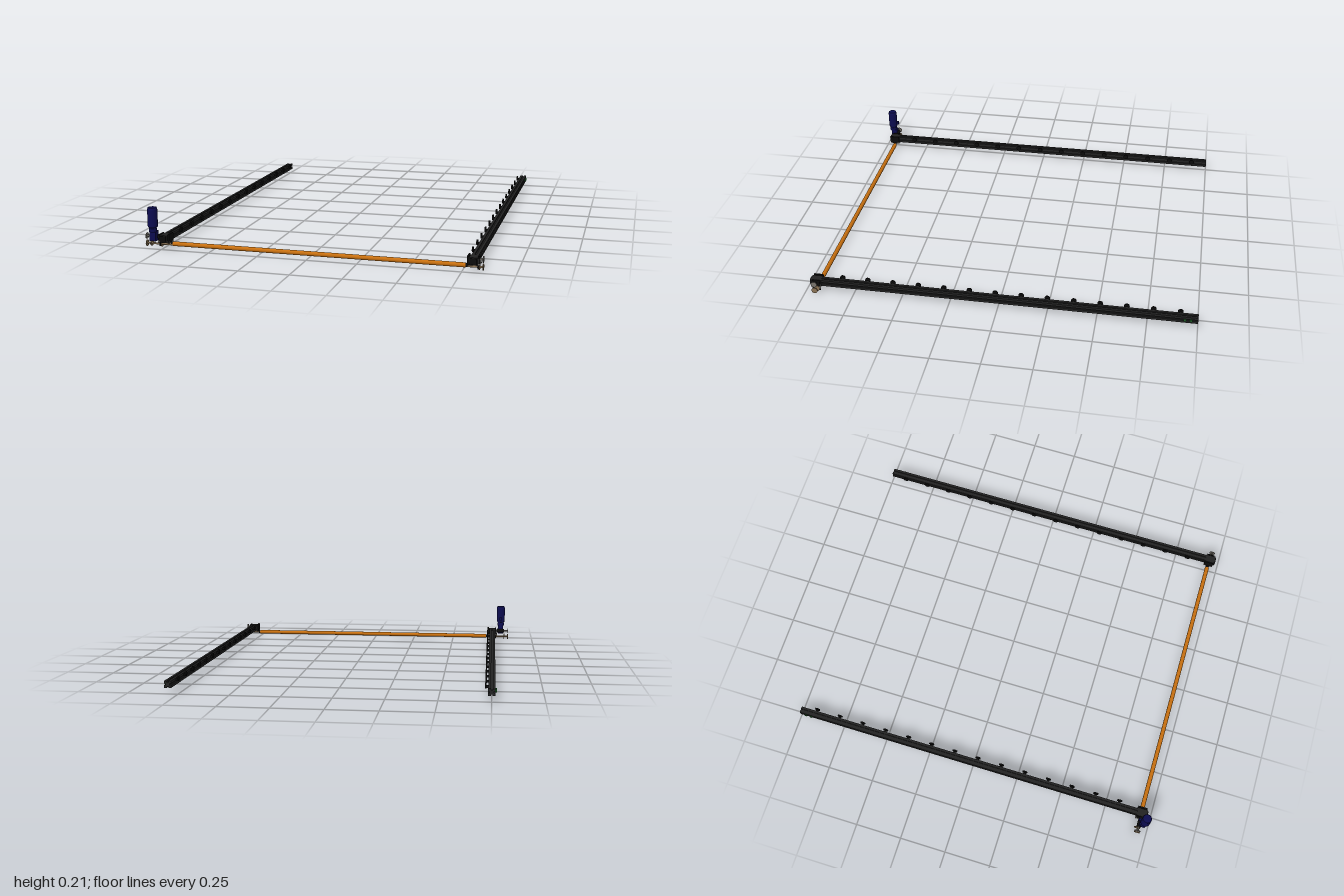
import * as THREE from 'three';

const mat = (color) => new THREE.MeshStandardMaterial({ color });
const black = mat(0x222222), dark = mat(0x0c0c0c), navy = mat(0x0c0c50);
const orange = mat(0xc87010), steel = mat(0x77736c), brass = mat(0x8a7355), green = mat(0x1c5a24);

function add(parent, name, geometry, material, x, y, z) {
  const mesh = new THREE.Mesh(geometry, material);
  mesh.name = name;
  mesh.position.set(x, y, z);
  parent.add(mesh);
  return mesh;
}
const box = (w, h, d) => new THREE.BoxGeometry(w, h, d);
const cylX = (r, len, n = 20) => new THREE.CylinderGeometry(r, r, len, n).rotateZ(Math.PI / 2);
const cylY = (r, len, n = 24) => new THREE.CylinderGeometry(r, r, len, n);

// Square profile with a shallow slot in each face, extruded along z
function railGeometry(size, length) {
  const h = size / 2, s = size * 0.12, d = size * 0.2;
  const shape = new THREE.Shape();
  const side = [[-h, -h], [-s, -h], [-s, -h + d], [s, -h + d], [s, -h]];
  const points = [];
  for (let i = 0; i < 4; i++) {
    const c = Math.round(Math.cos(i * Math.PI / 2)), n = Math.round(Math.sin(i * Math.PI / 2));
    for (const [x, y] of side) points.push(new THREE.Vector2(x * c - y * n, x * n + y * c));
  }
  shape.setFromPoints(points);
  return new THREE.ExtrudeGeometry(shape, { depth: length, bevelEnabled: false });
}

// One rail with its roller studs and corner bracket; inner is the x direction toward the middle
function makeRail(name, x, inner) {
  const rail = new THREE.Group();
  rail.name = name;
  rail.position.x = x;
  add(rail, 'railBeam', railGeometry(0.034, 1.96), black, 0, 0.047, -1);

  // Row of studs along the inner face
  for (let i = 0; i < 14; i++) {
    const z = -0.912 + i * 0.133;
    add(rail, 'studDisc', cylX(0.014, 0.007), dark, inner * 0.028, 0.061, z);
    add(rail, 'studPin', cylX(0.007, 0.012, 12), dark, inner * 0.021, 0.056, z);
  }

  // Small fasteners at the far end
  for (const z of [-0.965, -0.935])
    add(rail, 'endFastener', cylX(0.007, 0.008, 12), green, -inner * 0.019, 0.047, z);

  // Corner bracket at the front
  add(rail, 'bracketBlock', box(0.042, 0.036, 0.055), black, 0, 0.047, 0.948);
  add(rail, 'bracketFlange', box(0.056, 0.03, 0.025), black, 0, 0.045, 0.955);
  add(rail, 'bracketCheek', box(0.008, 0.046, 0.05), dark, inner * 0.026, 0.048, 0.945);
  add(rail, 'bracketCheek', box(0.006, 0.062, 0.04), dark, -inner * 0.022, 0.038, 0.945);
  add(rail, 'frontPlate', box(0.032, 0.03, 0.008), dark, 0, 0.047, 0.976);
  for (const z of [0.925, 0.965])
    add(rail, 'bracketBolt', cylX(0.005, 0.062, 10), steel, 0, 0.03, z);
  return rail;
}

// Short axle with a disc at its outer end
function makeAxle(name, x0, x1, y, material) {
  const axle = new THREE.Group();
  axle.name = name;
  add(axle, 'axleShaft', cylX(0.005, Math.abs(x1 - x0), 12), material, (x0 + x1) / 2, y, 0.95);
  add(axle, 'axleDisc', cylX(0.016, 0.004), material, x0 + Math.sign(x1 - x0) * 0.002, y, 0.95);
  return axle;
}

export function createModel() {
  const model = new THREE.Group();
  model.add(makeRail('rightRail', -0.75, 1), makeRail('leftRail', 0.8, -1));

  // Cross roller and its end collars
  add(model, 'crossRoller', cylX(0.0115, 1.47, 24), orange, 0.025, 0.019, 0.945);
  add(model, 'rollerSpindle', cylX(0.005, 1.56, 12), brass, 0.025, 0.019, 0.945);
  for (const x of [-0.713, 0.763])
    add(model, 'rollerCollar', cylX(0.009, 0.012), dark, x, 0.019, 0.945);

  // Axles at both corners, upper and lower
  model.add(
    makeAxle('upperAxleRight', -0.85, -0.73, 0.053, steel),
    makeAxle('lowerAxleRight', -0.85, -0.71, 0.016, brass),
    makeAxle('upperAxleLeft', 0.845, 0.78, 0.053, steel),
    makeAxle('lowerAxleLeft', 0.845, 0.77, 0.016, brass)
  );
  for (const x of [-0.825, -0.77, 0.825])
    add(model, 'gearDisc', cylX(0.017, 0.004), brass, x, 0.018, 0.945);

  // Upright drive motor beside the right rail
  const motor = new THREE.Group();
  motor.name = 'driveMotor';
  motor.position.set(-0.803, 0, 0.974);
  const profile = [[0, 0.085], [0.017, 0.085], [0.017, 0.106], [0.024, 0.108], [0.025, 0.112],
    [0.025, 0.196], [0.022, 0.206], [0, 0.207]].map(([r, y]) => new THREE.Vector2(r, y));
  const body = new THREE.LatheGeometry(profile, 28).toNonIndexed();
  body.computeVertexNormals();
  add(motor, 'motorBody', body, navy, 0, 0, 0);
  add(motor, 'motorNeck', cylY(0.02, 0.018), navy, 0, 0.092, 0);
  add(motor, 'gearbox', box(0.033, 0.05, 0.034), navy, 0, 0.06, -0.008);
  add(motor, 'cableSocket', box(0.014, 0.018, 0.016), navy, 0, 0.13, -0.029);
  add(motor, 'outputHub', cylX(0.012, 0.044), dark, 0, 0.053, -0.024);
  model.add(motor);
  return model;
}
